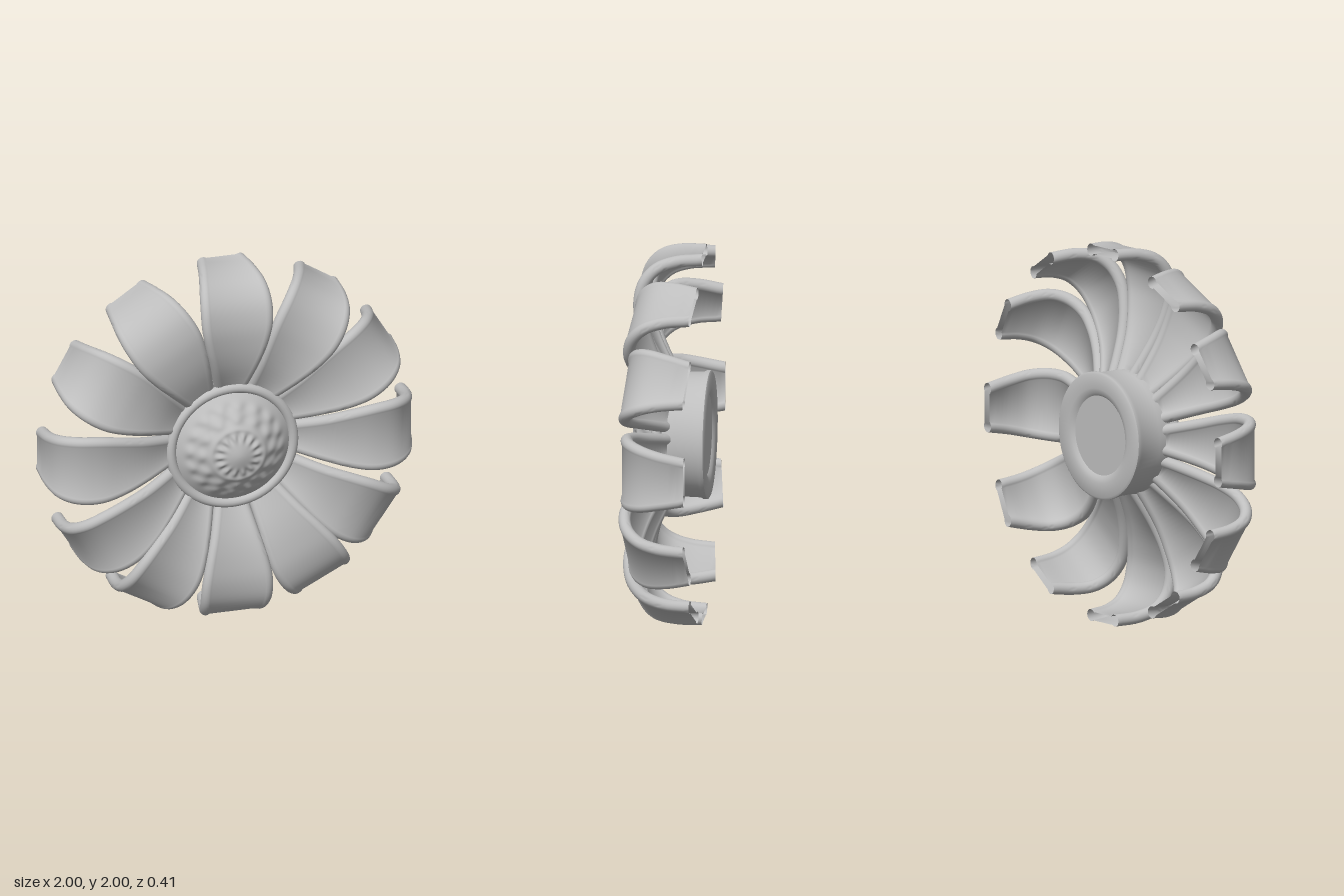
import * as THREE from 'three';
import { toCreasedNormals } from 'three/addons/utils/BufferGeometryUtils.js';

const TUBE = 0.032;                      // radius of the rolled petal edges
const FRONT = Math.PI - Math.asin(0.8);  // tube angle where the front panel joins
const BACK = Math.asin(0.6) - Math.PI;   // tube angle where the back panel joins
const TILT = 0.1;                        // lean of the diagonal petals

// Petal path: x = radius from centre, y = depth (z), z = half width
const petalPath = new THREE.CatmullRomCurve3([
  [0.29, -0.015, 0.079], [0.38, 0.038, 0.102], [0.5, 0.098, 0.134],
  [0.62, 0.136, 0.167], [0.74, 0.15, 0.19], [0.85, 0.125, 0.192],
  [0.925, 0.06, 0.18], [0.96, -0.04, 0.157], [0.968, -0.174, 0.131],
].map((p) => new THREE.Vector3(...p)));

// Hollow curled strip with a rolled tube along each side, open at the tip
function petalGeometry() {
  const rows = 40, arc = 14;
  const pos = [], index = [];
  const cols = 2 * (arc + 1);
  for (let i = 0; i <= rows; i++) {
    const p = petalPath.getPoint(i / rows);
    const t = petalPath.getTangent(i / rows);
    const len = Math.hypot(t.x, t.y);
    const ny = -t.y / len, nz = t.x / len;
    for (const side of [1, -1]) {
      for (let j = 0; j <= arc; j++) {
        const u = side > 0 ? j / arc : 1 - j / arc;
        const a = THREE.MathUtils.lerp(FRONT, BACK, u);
        const s = side * (p.z - TUBE + TUBE * Math.cos(a));
        const n = TUBE * Math.sin(a);
        pos.push(s, p.x + n * ny, p.y + n * nz);
      }
    }
  }
  for (let i = 0; i < rows; i++) {
    for (let j = 0; j < cols; j++) {
      const a = i * cols + j, b = i * cols + (j + 1) % cols;
      index.push(a, b, a + cols, b, b + cols, a + cols);
    }
  }
  const g = new THREE.BufferGeometry();
  g.setAttribute('position', new THREE.Float32BufferAttribute(pos, 3));
  g.setIndex(index);
  return toCreasedNormals(g, 0.9);
}

// Lathe around the z axis from [radius, z] pairs
function latheZ(points, segments) {
  const g = new THREE.LatheGeometry(points.map((p) => new THREE.Vector2(...p)), segments);
  return g.rotateX(Math.PI / 2);
}

// Bell-shaped band around a given radius
const band = (r, centre, width) => Math.exp(-(((r - centre) / width) ** 2));

// Embossed ornament on the dome
function relief(r, a) {
  return 0.009 * band(r, 0, 0.06)
    + 0.006 * band(r, 0.105, 0.022) * Math.cos(14 * a)
    + 0.006 * band(r, 0.145, 0.014)
    + 0.007 * band(r, 0.19, 0.024) * Math.cos(12 * a)
    + 0.007 * band(r, 0.245, 0.022) * Math.cos(16 * a + 1);
}

function domeGeometry() {
  const profile = [];
  for (let i = 0; i <= 48; i++) {
    const r = 0.315 * (1 - i / 48);
    profile.push([r, 0.04 + 0.152 * (1 - (r / 0.315) ** 2)]);
  }
  const g = latheZ(profile, 144);
  const p = g.attributes.position;
  for (let i = 0; i < p.count; i++) {
    const x = p.getX(i), y = p.getY(i);
    p.setZ(i, p.getZ(i) + relief(Math.hypot(x, y), Math.atan2(y, x)));
  }
  g.computeVertexNormals();
  return g;
}

export function createModel() {
  const stone = new THREE.MeshStandardMaterial({ color: 0xbebebe, side: THREE.DoubleSide });
  stone.name = 'plain grey';

  const flower = new THREE.Group();
  flower.name = 'flowerRosette';
  const add = (name, geometry) => {
    const mesh = new THREE.Mesh(geometry, stone);
    mesh.name = name;
    flower.add(mesh);
    return mesh;
  };

  // Petals: level ones on the axes, leaning ones mirrored between them
  const petal = petalGeometry();
  const addPetal = (name, degrees, tilt) => {
    add(name, petal).rotation.set(0, tilt, THREE.MathUtils.degToRad(degrees), 'ZYX');
  };
  for (const a of [0, 90, 180, 270]) addPetal('straightPetal', a, 0);
  for (const a of [30.8, 58.8]) {
    for (const turn of [0, 180]) {
      addPetal('diagonalPetal', turn + a, TILT);
      addPetal('diagonalPetal', turn - a, -TILT);
    }
  }

  // Hub with a shallow recess in the back
  add('hub', toCreasedNormals(latheZ([
    [0, -0.19], [0.21, -0.19], [0.225, -0.202], [0.25, -0.207], [0.325, -0.207],
    [0.336, -0.2], [0.336, -0.18], [0.328, -0.165], [0.325, -0.05], [0.33, 0.0], [0.325, 0.04],
  ], 72), 0.6));

  // Rim and embossed centre
  add('rim', new THREE.TorusGeometry(0.33, 0.027, 14, 72)).position.z = 0.043;
  add('dome', domeGeometry());

  flower.position.y = 1;
  const model = new THREE.Group();
  model.name = 'model';
  model.add(flower);
  return model;
}
